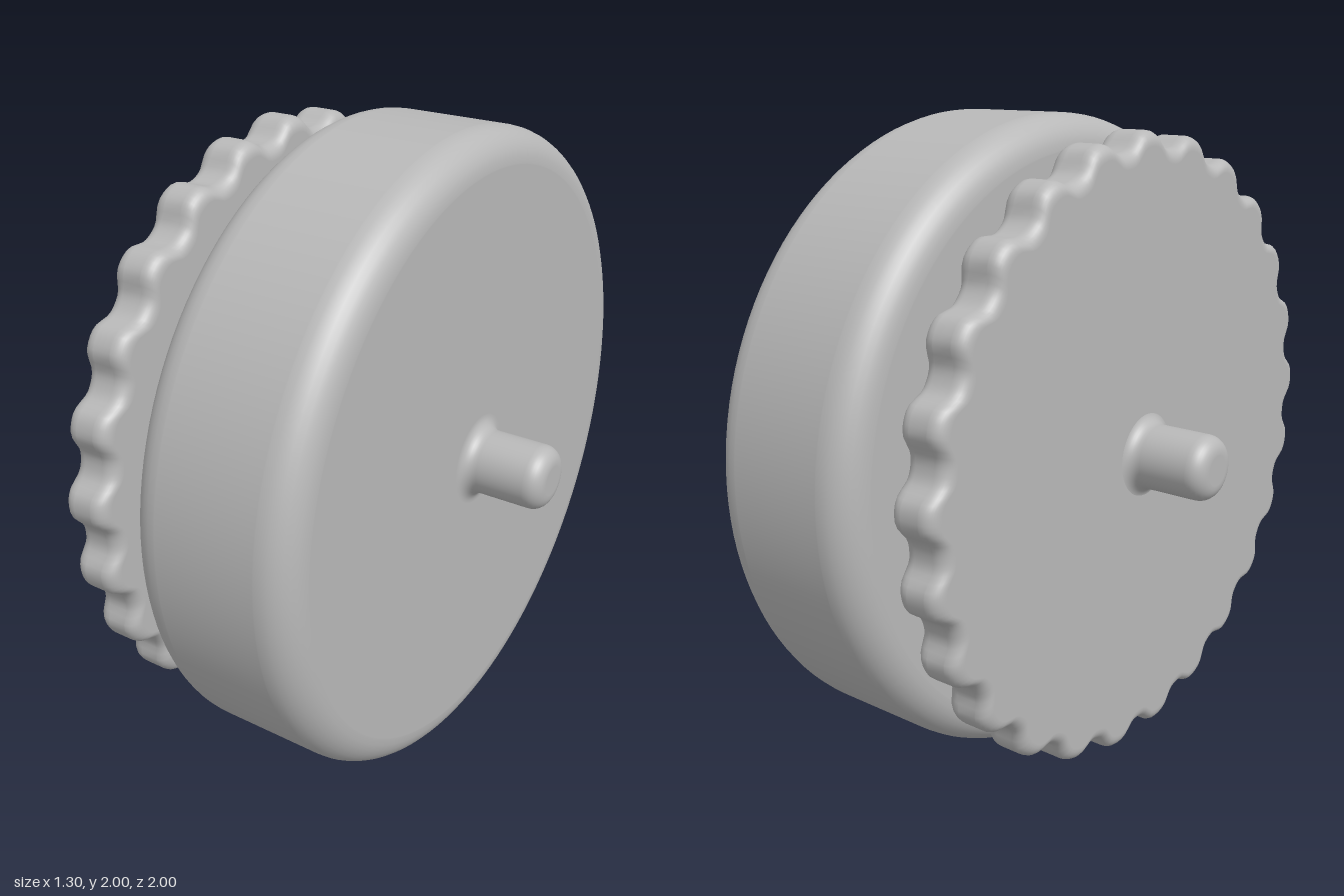
import * as THREE from 'three';
import { mergeVertices } from 'three/addons/utils/BufferGeometryUtils.js';

const TEETH = 25;
const TOOTH_DEPTH = 0.05;

// Profile through [x, radius, fillet] corners, each fillet rounded by an arc.
// Short guard segments beside each arc keep the adjoining flats flat.
function filletedProfile(corners, steps = 8) {
  const pts = [];
  corners.forEach(([x, r, f], i) => {
    const p = new THREE.Vector2(r, x);
    if (!f) { pts.push(p); return; }
    const a = new THREE.Vector2(corners[i - 1][1], corners[i - 1][0]).sub(p).normalize();
    const b = new THREE.Vector2(corners[i + 1][1], corners[i + 1][0]).sub(p).normalize();
    const centre = p.clone().addScaledVector(a, f).addScaledVector(b, f);
    pts.push(p.clone().addScaledVector(a, f + 0.004));
    for (let k = 0; k <= steps; k++) {
      const t = (k / steps) * Math.PI / 2;
      pts.push(centre.clone()
        .addScaledVector(b, -f * Math.cos(t))
        .addScaledVector(a, -f * Math.sin(t)));
    }
    pts.push(p.clone().addScaledVector(b, f + 0.004));
  });
  return pts;
}

// Revolve a profile (ordered from -x to +x) around the x axis
function turned(corners, segments) {
  const g = new THREE.LatheGeometry(filletedProfile(corners), segments);
  return g.rotateZ(-Math.PI / 2);
}

// Disc whose rim is pushed inward between softly rounded teeth
function toothedDisc() {
  let g = turned([[-0.4, 0], [-0.4, 0.961, 0.04], [-0.254, 0.961, 0.04], [-0.254, 0]], TEETH * 14);
  const p = g.attributes.position;
  for (let i = 0; i < p.count; i++) {
    const y = p.getY(i), z = p.getZ(i), r = Math.hypot(y, z);
    if (r < 0.5) continue;
    const wave = Math.tanh(1.3 * Math.cos(TEETH * Math.atan2(z, y))) / Math.tanh(1.3);
    const s = (r - TOOTH_DEPTH * (1 - wave) / 2) / r;
    p.setXYZ(i, p.getX(i), y * s, z * s);
  }
  g.deleteAttribute('uv');
  g.deleteAttribute('normal');
  g = mergeVertices(g, 1e-5);
  g.computeVertexNormals();
  return g;
}

export function createModel() {
  const grey = new THREE.MeshStandardMaterial({ color: 0xb8b8b8 });
  grey.name = 'grey';
  const group = new THREE.Group();
  group.name = 'gearedWheel';
  const add = (name, geometry) => {
    const mesh = new THREE.Mesh(geometry, grey);
    mesh.name = name;
    mesh.position.y = 1;
    group.add(mesh);
  };

  // Wheel with its hub neck on one side and axle stub on the other
  add('wheelWithHub', turned([
    [-0.256, 0.4], [-0.256, 0.3, 0.05], [-0.13, 0.3, 0.05], [-0.13, 1, 0.1],
    [0.4, 1, 0.1], [0.4, 0.1, 0.04], [0.65, 0.1, 0.05], [0.65, 0],
  ], 128));

  // Toothed disc on the neck
  add('toothedDisc', toothedDisc());

  // Axle stub on the toothed side
  add('axleStub', turned([
    [-0.65, 0], [-0.65, 0.1, 0.05], [-0.398, 0.1, 0.04], [-0.398, 0.2],
  ], 64));

  return group;
}
